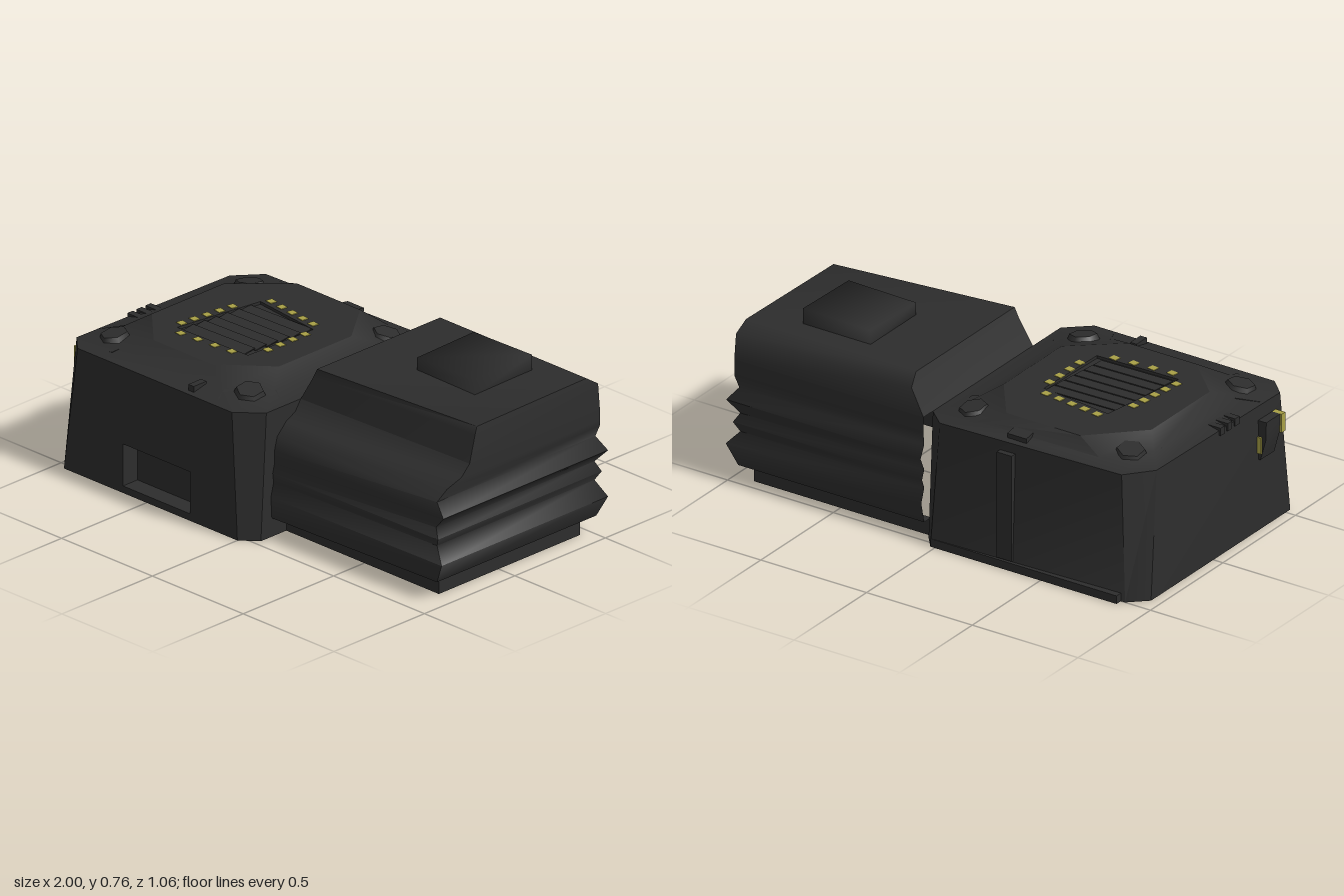
import * as THREE from 'three';
import { toCreasedNormals } from 'three/addons/utils/BufferGeometryUtils.js';

const casing = new THREE.MeshStandardMaterial({ color: 0x2d2d2d, side: THREE.DoubleSide });
casing.name = 'charcoal casing';
const accent = new THREE.MeshStandardMaterial({ color: 0xa8a046, side: THREE.DoubleSide });
accent.name = 'yellow accent';

// Skin a stack of rings (each a list of [x, y, z]); skip leaves some sides open
function loft(rings, { cap = false, skip = [], crease = 0.5 } = {}) {
  const pos = [];
  const tri = (...pts) => pts.forEach((p) => pos.push(...p));
  for (let r = 0; r + 1 < rings.length; r++) {
    const a = rings[r], b = rings[r + 1], n = a.length;
    for (let i = 0; i < n; i++) {
      if (skip.includes(i)) continue;
      const j = (i + 1) % n;
      tri(a[i], a[j], b[j]);
      tri(a[i], b[j], b[i]);
    }
  }
  if (cap) {
    const c = rings[rings.length - 1];
    for (let i = 1; i + 1 < c.length; i++) tri(c[0], c[i], c[i + 1]);
  }
  const g = new THREE.BufferGeometry();
  g.setAttribute('position', new THREE.Float32BufferAttribute(pos, 3));
  return toCreasedNormals(g, crease);
}

const shapeOf = (pts) => new THREE.Shape(pts.map(([x, y]) => new THREE.Vector2(x, y)));
const atY = (plan, y) => plan.map(([x, z]) => [x, y, z]);

export function createModel() {
  const model = new THREE.Group();
  const add = (name, geo, mat = casing, parent = model) => {
    const m = new THREE.Mesh(geo, mat);
    m.name = name;
    parent.add(m);
    return m;
  };
  const box = (name, x0, x1, y0, y1, z0, z1, mat) => {
    const m = add(name, new THREE.BoxGeometry(x1 - x0, y1 - y0, z1 - z0), mat);
    m.position.set((x0 + x1) / 2, (y0 + y1) / 2, (z0 + z1) / 2);
    return m;
  };

  // Engine cover: open-bottomed shell whose corner chamfers widen towards the top
  const base = [[-0.955, 0.53], [0, 0.53], [0.07, 0.47], [0.07, -0.47],
    [0.02, -0.53], [-0.88, -0.5], [-0.955, -0.43], [-0.955, 0.53]];
  const brow = [[-0.88, 0.53], [-0.03, 0.53], [0.07, 0.44], [0.07, -0.44],
    [-0.01, -0.51], [-0.85, -0.48], [-0.94, -0.37], [-0.955, 0.46]];
  const crown = [[-0.62, 0.37], [-0.3, 0.37], [-0.1, 0.2], [-0.1, -0.2],
    [-0.25, -0.4], [-0.6, -0.4], [-0.8, -0.2], [-0.8, 0.2]];
  const ledge = brow.map(([x, z], i) => [x + (crown[i][0] - x) * 0.55, z + (crown[i][1] - z) * 0.55]);
  add('coverWalls', loft([atY(base, 0), atY(brow, 0.54)], { skip: [0, 2], crease: 0.8 }));
  add('coverShoulders', loft([atY(brow, 0.54), atY(ledge, 0.56), atY(crown, 0.607)], { crease: 0.6 }));

  // Strip of the right wall beside the pleated box; the two shells join inside
  const strip = shapeOf([[-0.47, 0], [-0.33, 0], [-0.33, 0.42], [-0.22, 0.46], [-0.22, 0.54], [-0.44, 0.54]]);
  add('rightWallStrip', new THREE.ShapeGeometry(strip).rotateY(Math.PI / 2)).position.x = 0.07;

  // Front wall with an inset pocket
  const front = shapeOf([[-0.955, 0], [0, 0], [-0.03, 0.54], [-0.88, 0.54]]);
  const pocket = [[-0.63, 0.03], [-0.26, 0.03], [-0.26, 0.21], [-0.63, 0.21]];
  front.holes.push(shapeOf(pocket));
  add('frontWall', new THREE.ShapeGeometry(front)).position.z = 0.53;
  const pocketRing = (z) => [...pocket].reverse().map(([x, y]) => [x, y, z]);
  add('frontPocket', loft([pocketRing(0.53), pocketRing(0.45)]));
  const pocketBack = add('pocketBack', new THREE.PlaneGeometry(0.37, 0.18));
  pocketBack.position.set(-0.445, 0.12, 0.45);

  // Crown plate with a shallow louvre
  const vent = [[-0.64, 0.22], [-0.26, 0.21], [-0.25, -0.14], [-0.58, -0.18]];
  const flip = (pts) => pts.map(([x, z]) => [x, -z]);
  const plate = shapeOf(flip(crown));
  plate.holes.push(shapeOf(flip(vent)));
  add('crownPlate', new THREE.ShapeGeometry(plate).rotateX(-Math.PI / 2)).position.y = 0.607;
  add('ventTray', loft([atY(vent, 0.607), atY(vent, 0.595)], { cap: true }));
  const vents = new THREE.Group();
  vents.name = 'ventSlats';
  model.add(vents);
  for (let i = 0; i < 6; i++) {
    const slat = add('slat', new THREE.BoxGeometry(0.33, 0.004, 0.06), casing, vents);
    slat.position.set(-0.425 - i * 0.006, 0.6, -0.11 + i * 0.057);
    slat.rotation.set(0.1, 0.03, 0);
  }

  // Rows of yellow marks framing the louvre
  const marks = [[5, -0.55, -0.21, -0.285, -0.175], [4, -0.24, -0.085, -0.24, 0.12],
    [4, -0.59, 0.25, -0.33, 0.23], [5, -0.625, -0.07, -0.655, 0.18]];
  for (const [n, x0, z0, x1, z1] of marks) {
    for (let i = 0; i < n; i++) {
      const t = i / (n - 1);
      const mark = add('yellowMark', new THREE.BoxGeometry(0.034, 0.003, 0.03), accent);
      mark.position.set(x0 + (x1 - x0) * t, 0.608, z0 + (z1 - z0) * t);
      mark.rotation.y = -0.15;
    }
  }

  // Corner pads tilted outwards, with hexagonal bolts in deep sockets
  [[-0.79, -0.33], [-0.08, -0.37], [-0.82, 0.38], [-0.08, 0.38]].forEach(([x, z], i) => {
    const corner = new THREE.Group();
    corner.name = 'cornerBolt';
    corner.position.set(x, 0.55, z);
    corner.rotation.set(Math.sign(z) * 0.14, 0, x < -0.4 ? 0.14 : -0.14);
    model.add(corner);
    const pad = add('boltPad', new THREE.CylinderGeometry(0.13, 0.13, 0.012, 5), casing, corner);
    pad.rotation.y = 0.6 + i * 1.3;
    add('bolt', new THREE.CylinderGeometry(0.055, 0.07, 0.035, 6), casing, corner).position.y = 0.012;
    const socket = add('boltSocket', new THREE.CylinderGeometry(0.07, 0.06, 0.18, 6));
    socket.position.set(x, 0.455, z);
  });

  // Small fittings on the cover
  box('rearSlotBar', -0.4, -0.31, 0.55, 0.585, -0.48, -0.27).rotation.x = -0.15;
  box('rearRib', -0.36, -0.29, 0.04, 0.5, -0.525, -0.49);
  box('rearFlange', -0.86, 0.02, 0, 0.035, -0.53, -0.49);
  box('frontTab', -0.29, -0.26, 0.54, 0.57, 0.44, 0.51);
  for (let i = 0; i < 3; i++) {
    box('sideRib', -0.955, -0.87, 0.52, 0.553, 0.05 + i * 0.05, 0.08 + i * 0.05);
  }

  // Side connector, passing through the wall
  const plug = (y, x) => [[x, y, 0.405], [-0.95, y, 0.405], [-0.95, y, 0.31], [x, y, 0.31]];
  add('sideConnector', loft([plug(0.31, -0.965), plug(0.4, -0.99), plug(0.48, -0.993)], { cap: true }));
  box('connectorFront', -1, -0.95, 0.4, 0.48, 0.405, 0.43, accent);
  box('connectorBack', -0.973, -0.955, 0.34, 0.41, 0.302, 0.31, accent);
  box('connectorInside', -0.95, -0.92, 0.38, 0.44, 0.33, 0.4, accent);

  // Pleated box: rows of [y, right end x, back z, front z at left, front z at right]
  const pleats = [[0.08, 0.95, -0.5, 0.41, 0.38], [0.17, 0.995, -0.52, 0.415, 0.4],
    [0.23, 0.94, -0.5, 0.4, 0.37], [0.27, 0.965, -0.515, 0.405, 0.39],
    [0.31, 0.94, -0.5, 0.395, 0.375], [0.365, 0.99, -0.525, 0.395, 0.385],
    [0.42, 0.945, -0.5, 0.38, 0.375], [0.47, 0.965, -0.505, 0.33, 0.34],
    [0.495, 0.965, -0.505, 0.28, 0.26], [0.54, 0.965, -0.505, 0.25, 0.215]];
  const pleatRing = ([y, x, zb, fl, fr]) => [[0.07, y, fl], [x, y, fr], [x, y, zb], [0.07, y, zb]];
  const pleatRings = pleats.map(pleatRing);
  add('pleatedBox', loft(pleatRings, { skip: [3], crease: 1.4 }));

  // Roof of the pleated box, sloped at its left end and dipping at the front right
  const eaves = [[0.13, 0.65, 0.24], [0.96, 0.65, 0.18], [0.96, 0.65, -0.5], [0.13, 0.65, -0.5]];
  const roof = [[0.15, 0.69, 0.24], [0.955, 0.68, 0.165], [0.955, 0.69, -0.44], [0.15, 0.69, -0.44]];
  add('pleatedBoxRoof', loft([pleatRings[9], eaves, roof], { cap: true, crease: 1.1 }));

  // Inset skirt under the pleats, with a narrow ledge joining them
  const skirt = [[0.07, 0.33], [0.91, 0.33], [0.91, -0.45], [0.07, -0.45]];
  add('skirt', loft([atY(skirt, 0), atY(skirt, 0.08), pleatRings[0]], { skip: [3] }));

  // Tilted lid on top of the pleated box
  const lid = [[0.43, -0.03], [0.75, -0.03], [0.75, -0.345], [0.43, -0.345]];
  const lidTop = lid.map(([x, z]) => [x, 0.742 + (x > 0.5 ? 0.006 : 0) + (z < -0.1 ? 0.008 : 0), z]);
  add('lid', loft([atY(lid, 0.685), lidTop], { cap: true, crease: 2 }));

  return model;
}
